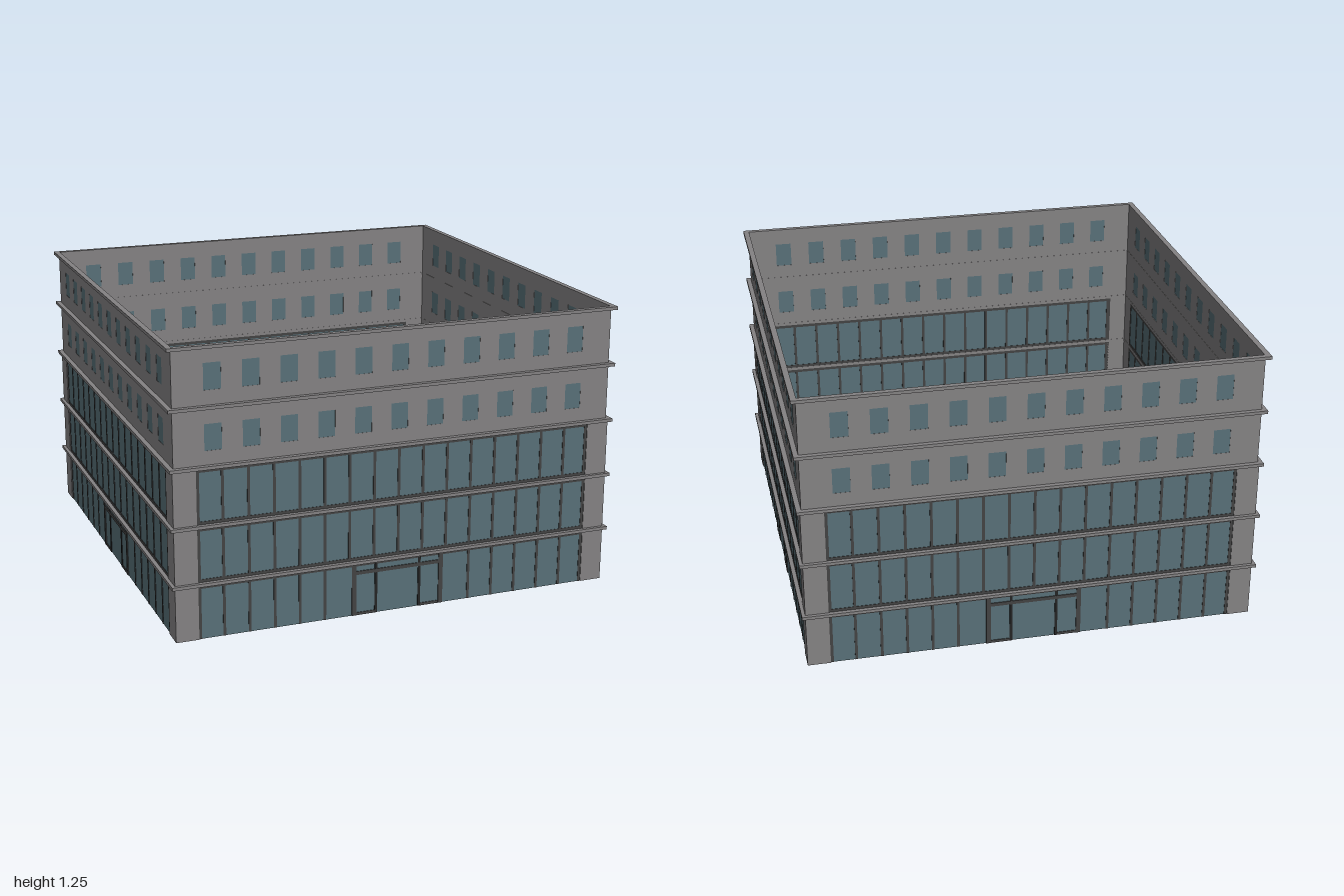
import * as THREE from 'three';

const mat = (name, color) => {
  const m = new THREE.MeshStandardMaterial({ color });
  m.name = name;
  return m;
};

export function createModel() {
  const stone = mat('stone grey', 0x848283);
  const glass = mat('blue grey glass', 0x587078);
  const frame = mat('dark frame', 0x434343);
  const doorBlack = mat('door black', 0x242424);

  const FLOOR = 0.25, PITCH = 0.1107, HALF = 0.893;
  const model = new THREE.Group();
  model.name = 'courtyardBuilding';

  function add(parent, name, geometry, material) {
    const mesh = new THREE.Mesh(geometry, material);
    mesh.name = name;
    parent.add(mesh);
    return mesh;
  }
  // Box given by its limits on x, y and z
  function box(parent, name, material, x0, x1, y0, y1, z0, z1) {
    const mesh = add(parent, name, new THREE.BoxGeometry(x1 - x0, y1 - y0, z1 - z0), material);
    mesh.position.set((x0 + x1) / 2, (y0 + y1) / 2, (z0 + z1) / 2);
  }
  function rect(Type, x0, x1, y0, y1) {
    return new Type([[x0, y0], [x1, y0], [x1, y1], [x0, y1]].map(p => new THREE.Vector2(...p)));
  }
  // Plan shape raised from y0 to y1
  function raise(shape, y0, y1) {
    const g = new THREE.ExtrudeGeometry(shape, { depth: y1 - y0, bevelEnabled: false });
    g.rotateX(-Math.PI / 2);
    return g.translate(0, y0, 0);
  }

  // Upper wall with two rows of punched windows
  function upperWall(side) {
    const wall = rect(THREE.Shape, -0.979, 0.979, 0.745, 1.245);
    for (const y of [0.81, 1.062]) {
      for (let i = -5; i <= 5; i++) {
        const x = i * 0.162;
        wall.holes.push(rect(THREE.Path, x - 0.037, x + 0.037, y, y + 0.112));
        box(side, 'windowPane', glass, x - 0.037, x + 0.037, y, y + 0.112, 0.977, 0.978);
      }
    }
    const g = new THREE.ExtrudeGeometry(wall, { depth: 0.003, bevelEnabled: false });
    add(side, 'upperWall', g.translate(0, 0, 0.976), stone);
  }

  // One storey of curtain wall: glass, border and mullions
  function curtainWall(side, level) {
    const y0 = level * FLOOR, y1 = y0 + 0.24;
    const bar = (...lim) => box(side, 'windowFrame', frame, ...lim, 0.976, 0.982);
    box(side, 'curtainGlass', glass, -HALF, HALF, y0, y1, 0.978, 0.980);
    bar(-HALF, HALF, y1 - 0.018, y1);
    if (level > 0) bar(-HALF, HALF, y0, y0 + 0.013);
    for (const s of [-1, 1]) {
      const x = s * (HALF - 0.01);
      bar(x - 0.01, x + 0.01, y0, y1);
    }
    for (let i = -7; i <= 7; i++) {
      const x = i * PITCH;
      // leave the doorway clear on the ground floor
      if (level === 0 && Math.abs(x) < 0.23) continue;
      bar(x - 0.006, x + 0.006, y0, y1);
    }
  }

  // Entrance: posts, transom, sidelight sills and sliding doors
  function entrance(side) {
    for (const s of [-1, 1]) {
      const p = s * 0.2, d = s * 0.1, m = s * 0.15;
      box(side, 'entrancePost', frame, p - 0.01, p + 0.01, 0, 0.24, 0.973, 0.984);
      box(side, 'doorEdge', doorBlack, d - 0.006, d + 0.006, 0, 0.225, 0.972, 0.983);
      box(side, 'sidelightSill', frame, m - 0.05, m + 0.05, 0, 0.012, 0.974, 0.983);
    }
    box(side, 'entranceTransom', frame, -0.2, 0.2, 0.184, 0.2, 0.974, 0.9835);
  }

  // Four identical sides
  ['front', 'left', 'back', 'right'].forEach((label, k) => {
    const side = new THREE.Group();
    side.name = label + 'Side';
    upperWall(side);
    for (let level = 0; level < 3; level++) curtainWall(side, level);
    entrance(side);

    // Angled corner pier
    const a = 0.886, o = 0.985, i = 0.976;
    const pts = [[a, -o], [o, -o], [o, -a], [i, -a], [i, -i], [a, -i]];
    const pier = new THREE.Shape(pts.map(p => new THREE.Vector2(...p)));
    add(side, 'cornerPier', raise(pier, 0, 0.74), stone);

    side.rotation.y = k * Math.PI / 2;
    model.add(side);
  });

  // Projecting ledge around the building above every storey
  for (let n = 1; n <= 5; n++) {
    const ring = rect(THREE.Shape, -1, 1, -1, 1);
    ring.holes.push(rect(THREE.Path, -0.975, 0.975, -0.975, 0.975));
    add(model, 'floorLedge', raise(ring, n * FLOOR - 0.014, n * FLOOR), stone);
  }
  return model;
}
